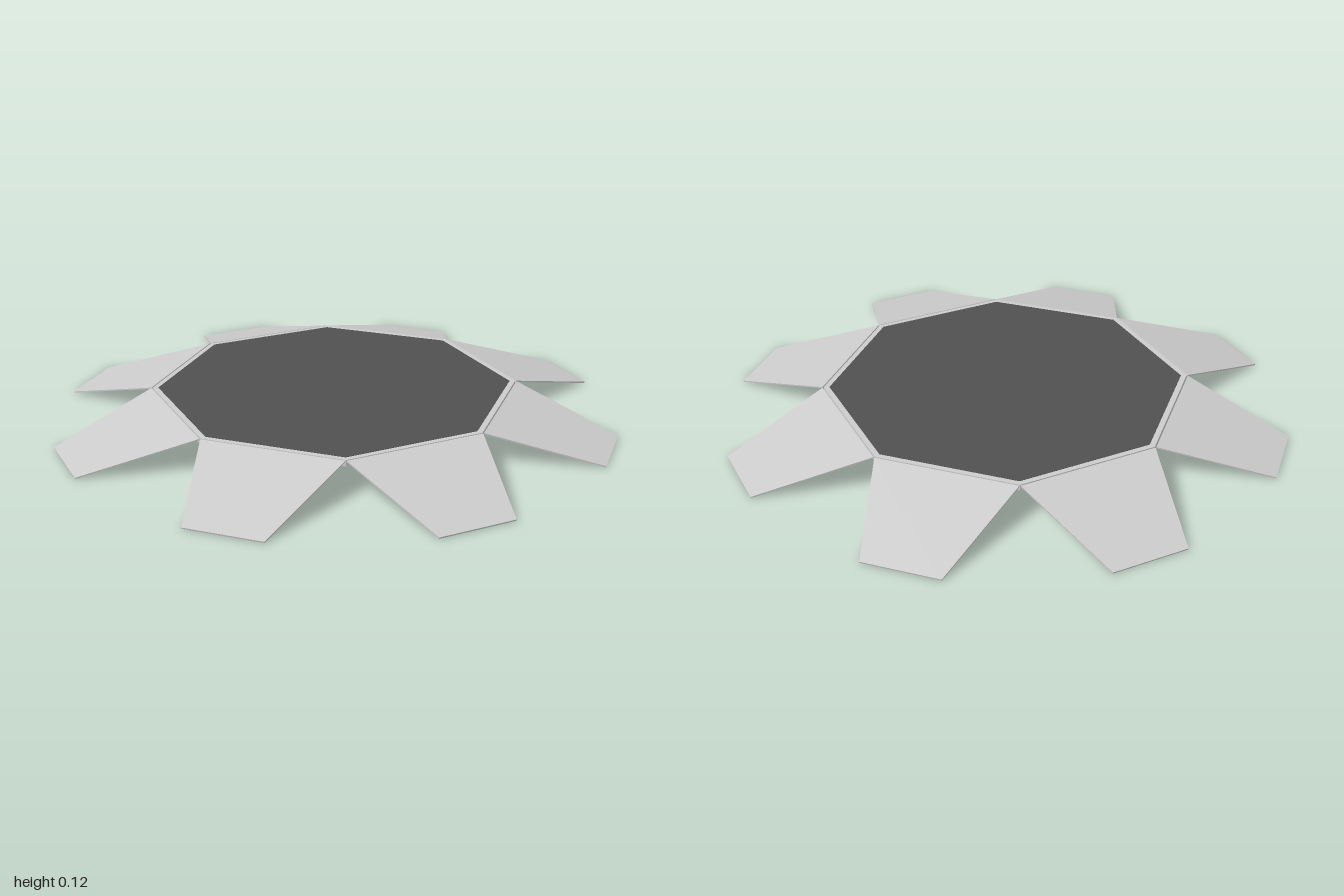
import * as THREE from 'three';

const TOP = 0.115;      // height of the deck
const THICK = 0.022;    // deck thickness
const SIDES = 8;

// Octagonal prism with flat sides facing the axes, given its apothem
function octagon(apothem, height, y, material, name) {
  const r = apothem / Math.cos(Math.PI / SIDES);
  const geo = new THREE.CylinderGeometry(r, r, height, SIDES);
  geo.rotateY(Math.PI / SIDES);
  const mesh = new THREE.Mesh(geo, material);
  mesh.position.y = y;
  mesh.name = name;
  return mesh;
}

// Thin tapered plate sloping from the deck edge down to the ground
function flapGeometry() {
  const inner = 0.609, outer = 1, t = 0.005;
  const drop = TOP - t;
  const length = Math.hypot(outer - inner, drop);
  const shape = new THREE.Shape([
    new THREE.Vector2(-0.25, 0),
    new THREE.Vector2(0.25, 0),
    new THREE.Vector2(0.135, length),
    new THREE.Vector2(-0.135, length),
  ]);
  const geo = new THREE.ExtrudeGeometry(shape, { depth: t, bevelEnabled: false });
  geo.rotateX(Math.PI / 2);                                  // lay flat, running along +z
  geo.rotateX(Math.atan2(drop, outer - inner));              // tilt the outer end down
  geo.translate(0, TOP, inner);
  return geo;
}

export function createModel() {
  const model = new THREE.Group();
  model.name = 'octagonalPlatform';
  const grey = new THREE.MeshStandardMaterial({ color: 0xcccccc, flatShading: true });
  const dark = new THREE.MeshStandardMaterial({ color: 0x505050, flatShading: true });

  // Deck with its dark top panel; the deck's border shows as a rim
  model.add(octagon(0.604, THICK, TOP - THICK / 2, grey, 'deck'));
  model.add(octagon(0.585, 0.004, TOP - 0.001, dark, 'topPanel'));

  // Eight ramps around the deck
  const flap = flapGeometry();
  for (let i = 0; i < SIDES; i++) {
    const ramp = new THREE.Mesh(flap, grey);
    ramp.rotation.y = (i * Math.PI * 2) / SIDES;
    ramp.name = `ramp${i + 1}`;
    model.add(ramp);
  }
  return model;
}
